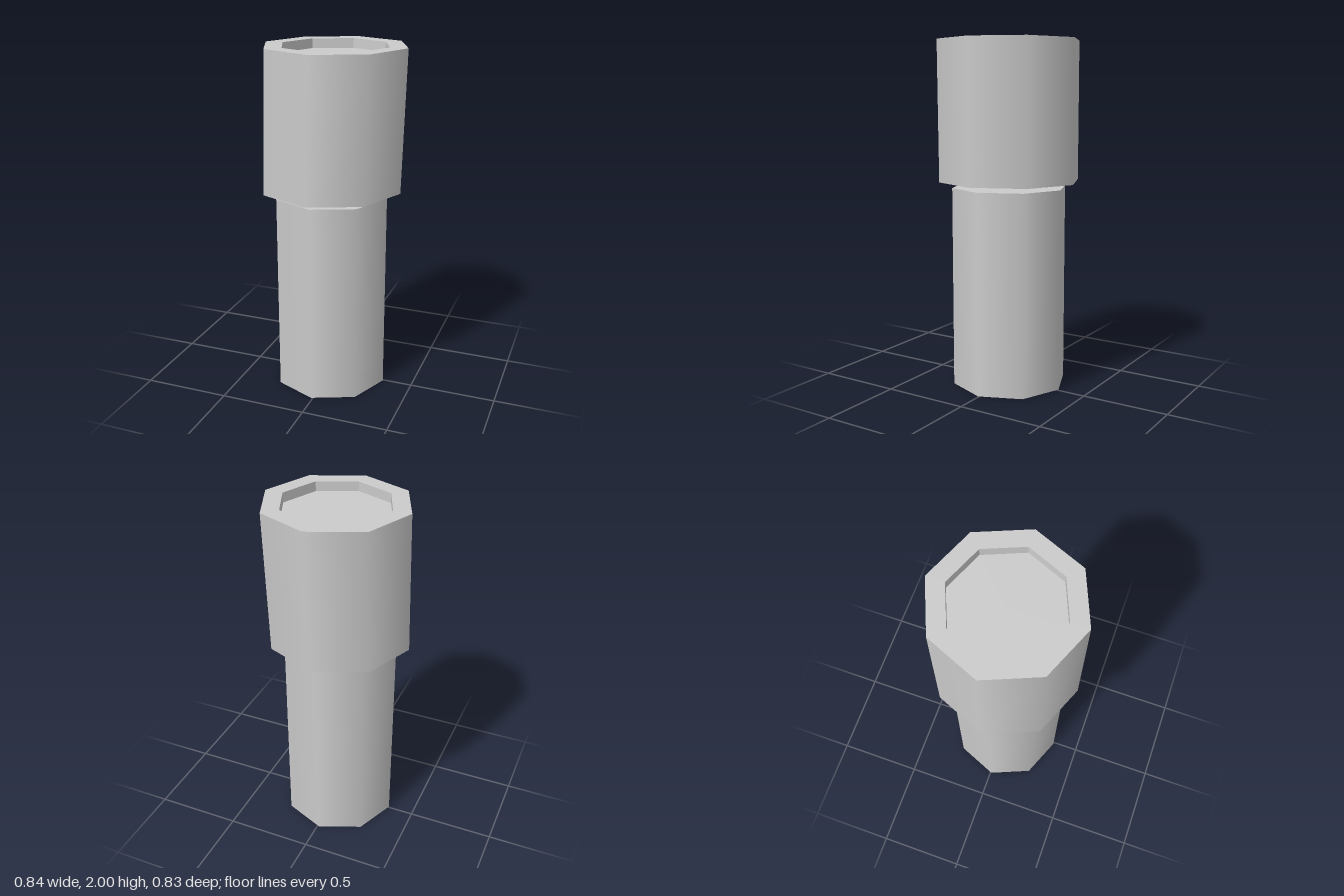
import * as THREE from 'three';

const SIDES = 8;
const material = new THREE.MeshStandardMaterial({ color: 0xcccccc });
const flatMaterial = new THREE.MeshStandardMaterial({ color: 0xcccccc, flatShading: true });

// Head dimensions
const HEAD = { bottom: 1.2, height: 0.8, radius: 0.412, inner: 0.31, recess: 0.055 };

// The head leans slightly: sideways and backwards as it rises
const lean = new THREE.Matrix4().makeShear(0, 0, 0.025, -0.012, 0, 0);

function addPart(group, name, geometry, mat = material) {
  const mesh = new THREE.Mesh(geometry, mat);
  mesh.name = name;
  group.add(mesh);
}

// Geometry placed at a height relative to the head's middle, then leaned
const headPart = (geometry, y) => geometry.translate(0, y, 0).applyMatrix4(lean);

export function createModel() {
  const model = new THREE.Group();
  model.name = 'cappedPost';

  // Lower shaft, closed at both ends
  const shaft = new THREE.CylinderGeometry(0.336, 0.336, 1.165, SIDES);
  addPart(model, 'shaft', shaft.translate(-0.011, 1.165 / 2, 0.006));

  // Upper head, floating just above the shaft
  const head = new THREE.Group();
  head.name = 'head';
  head.position.set(-0.001, HEAD.bottom + HEAD.height / 2, -0.001);
  model.add(head);

  const half = HEAD.height / 2;
  const { radius, inner, recess } = HEAD;

  addPart(head, 'headWall',
    headPart(new THREE.CylinderGeometry(radius, radius, HEAD.height, SIDES, 1, true), 0));
  addPart(head, 'headBase',
    headPart(new THREE.CircleGeometry(radius, SIDES).rotateX(Math.PI / 2), -half));
  addPart(head, 'headRim',
    headPart(new THREE.RingGeometry(inner, radius, SIDES, 1).rotateX(-Math.PI / 2), half));

  // Shallow recess in the top; its walls face inwards
  const recessWall = new THREE.CylinderGeometry(inner, inner, recess, SIDES, 1, true).toNonIndexed();
  recessWall.setIndex([...Array(recessWall.attributes.position.count).keys()].reverse());
  addPart(head, 'recessWall', headPart(recessWall, half - recess / 2), flatMaterial);
  addPart(head, 'recessFloor',
    headPart(new THREE.CircleGeometry(inner, SIDES).rotateX(-Math.PI / 2), half - recess));

  return model;
}
